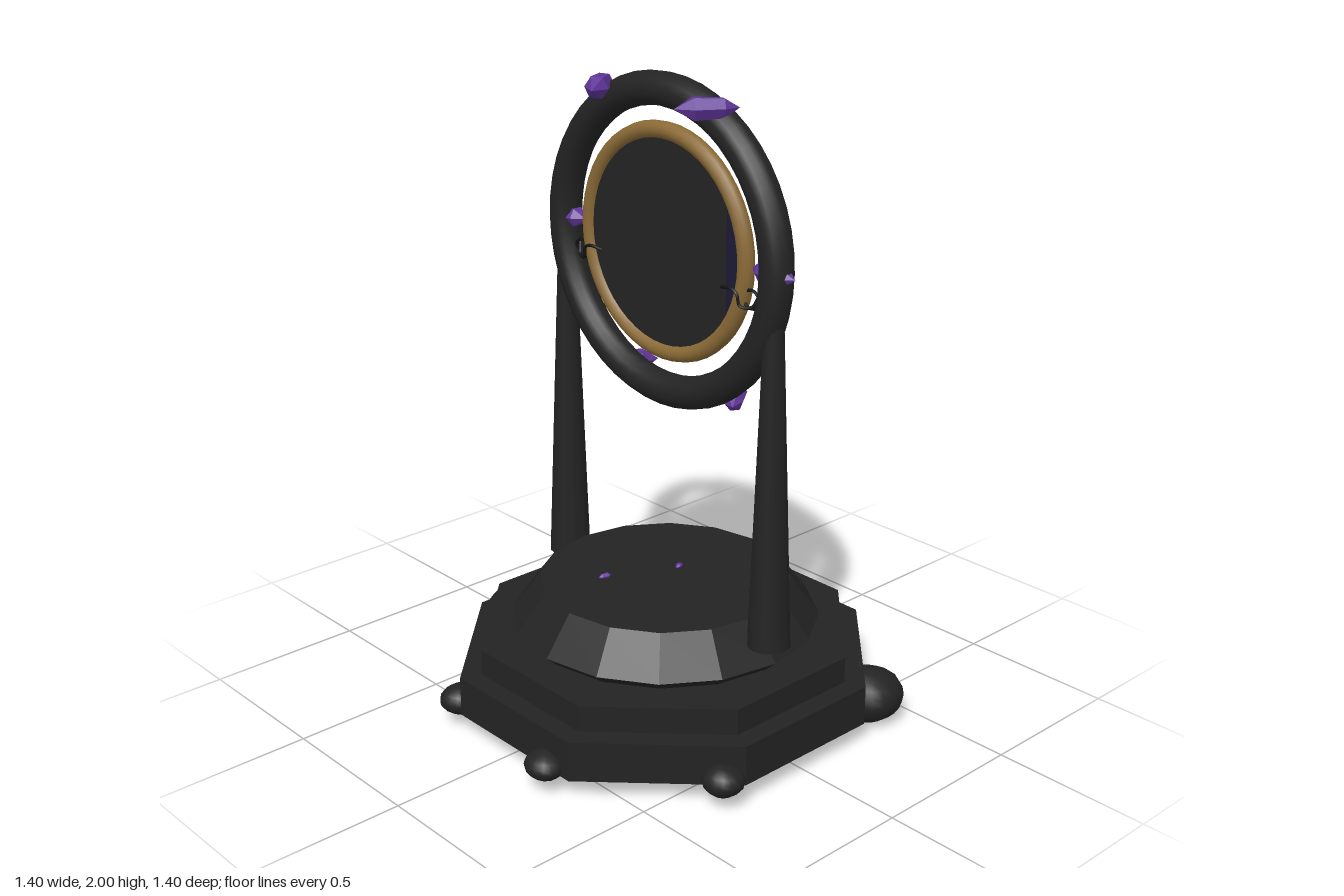
import * as THREE from 'three';

const CX = 0.055, CZ = 0.008, RING_Y = 1.5;

const material = (name, color, extra = {}) => {
  const m = new THREE.MeshStandardMaterial({ color, ...extra });
  m.name = name;
  return m;
};

export function createModel() {
  const stone = material('dark stone', 0x232323, { flatShading: true });
  const smoothStone = material('smooth dark stone', 0x232323);
  const gold = material('aged gold', 0x8a6a36);
  const navy = material('midnight blue', 0x1c1a34, { side: THREE.DoubleSide });
  const purple = material('violet crystal', 0x5f3598, { flatShading: true });
  const iron = material('black iron', 0x141414);

  const model = new THREE.Group();
  const add = (name, geometry, mat, x = 0, y = 0, z = 0, parent = model) => {
    const mesh = new THREE.Mesh(geometry, mat);
    mesh.name = name;
    mesh.position.set(x, y, z);
    parent.add(mesh);
    return mesh;
  };

  // Octagonal steps, flat sides facing the axes
  const octagon = (name, half, y0, y1) => {
    const r = half / Math.cos(Math.PI / 8);
    const g = new THREE.CylinderGeometry(r, r, y1 - y0, 8).rotateY(Math.PI / 8);
    add(name, g, stone, CX, (y0 + y1) / 2, CZ - 0.003);
  };
  octagon('lowerStep', 0.615, 0.065, 0.192);
  octagon('upperStep', 0.552, 0.19, 0.275);

  // Round bevelled dais
  const dais = [[0, 0.27], [0.435, 0.27], [0.48, 0.31], [0.39, 0.43], [0, 0.43]]
    .map(([x, y]) => new THREE.Vector2(x, y));
  add('dais', new THREE.LatheGeometry(dais, 16), stone, CX, 0, CZ - 0.003);

  // Lumpy boulders round the foot: x, z, radius, height centre, half height
  [
    [-0.595, 0.07, 0.108, 0.098, 0.082],
    [-0.465, -0.40, 0.114, 0.088, 0.086],
    [0.175, -0.635, 0.074, 0.088, 0.05],
    [0.585, -0.37, 0.102, 0.088, 0.086],
    [0.63, 0.31, 0.064, 0.088, 0.046],
    [0.218, 0.628, 0.064, 0.084, 0.043],
    [-0.25, 0.585, 0.062, 0.088, 0.045],
  ].forEach(([x, z, r, y, h], i) => {
    const g = new THREE.SphereGeometry(1, 16, 10);
    const p = g.attributes.position;
    const v = new THREE.Vector3();
    for (let k = 0; k < p.count; k++) {
      v.fromBufferAttribute(p, k);
      v.multiplyScalar(1 + 0.04 * Math.sin(3 * v.x + i) * Math.cos(4 * v.z + 2 * i));
      p.setXYZ(k, v.x * r, v.y * h, v.z * r);
    }
    g.computeVertexNormals();
    add('boulder', g, smoothStone, x, y, z);
  });

  // Tapered pillars leaning slightly inward
  for (const side of [-1, 1]) {
    const g = new THREE.CylinderGeometry(0.029, 0.066, 1.01, 12);
    const pillar = add('pillar', g, smoothStone, CX + side * 0.4505, 0.872, CZ + 0.002);
    pillar.rotation.z = side * 0.008;
  }

  // Outer ring, gilded frame and dark disc
  add('outerRing', new THREE.TorusGeometry(0.45, 0.05, 14, 48), smoothStone, CX, RING_Y, CZ);
  add('gildedFrame', new THREE.TorusGeometry(0.332, 0.026, 12, 48), gold, CX, RING_Y, CZ);
  add('mirrorDisc', new THREE.CylinderGeometry(0.32, 0.32, 0.02, 40).rotateX(Math.PI / 2),
    smoothStone, CX, RING_Y, CZ);

  // Blue glass: large segment on the back, sliver on the front
  const segment = (from, to) => {
    const s = new THREE.Shape();
    s.absarc(0, 0, 0.312, from, to, false);
    return new THREE.ShapeGeometry(s, 32);
  };
  const cut = Math.acos(0.15 / 0.312);
  add('backGlass', segment(cut, 2 * Math.PI - cut), navy, CX, RING_Y, CZ - 0.013);
  add('frontGlass', segment(-0.55, 0.55), navy, CX, RING_Y, CZ + 0.013);

  // Wire hooks tying the frame to the outer ring
  for (const side of [-1, 1]) {
    const path = [[0.385, 1.425, 0], [0.37, 1.392, 0.012], [0.335, 1.39, 0.026],
      [0.325, 1.425, 0.03], [0.3, 1.435, 0.03], [0.255, 1.428, 0.022]];
    const curve = new THREE.CatmullRomCurve3(
      path.map(([x, y, z]) => new THREE.Vector3(CX + side * x, y, CZ + z)));
    add('wireHook', new THREE.TubeGeometry(curve, 24, 0.005, 6), iron);
    const loop = add('wireLoop', new THREE.TorusGeometry(0.027, 0.005, 6, 20), iron,
      CX + side * 0.362, 1.412, CZ + 0.008);
    loop.scale.x = 1.15;
  }

  // Hexagonal crystals pointed at both ends
  const crystal = (name, a, b, r) => {
    const start = new THREE.Vector3(...a), end = new THREE.Vector3(...b);
    const dir = end.clone().sub(start), len = dir.length();
    const profile = [[0, -0.5], [0.85, -0.26], [1, 0.2], [0, 0.5]]
      .map(([x, y]) => new THREE.Vector2(x * r, y * len));
    const mid = start.add(end).multiplyScalar(0.5);
    const mesh = add(name, new THREE.LatheGeometry(profile, 6), purple, mid.x, mid.y, mid.z);
    mesh.quaternion.setFromUnitVectors(new THREE.Vector3(0, 1, 0), dir.normalize());
  };
  for (const side of [-1, 1]) {
    const x = (d) => CX + side * d;
    crystal('topCrystal', [x(0.275), 1.935, -0.015], [x(0.172), 1.935, 0.138], 0.036);
    crystal('lowerCrystal', [x(0.278), 1.062, 0.0], [x(0.175), 1.068, -0.125], 0.033);
    crystal('sideCrystal', [x(0.355), RING_Y, CZ], [x(0.52), RING_Y, CZ], 0.037);
  }

  // Tiny shards lying on the dais
  crystal('shard', [0.035, 0.432, -0.085], [0.045, 0.432, -0.05], 0.01);
  crystal('shard', [-0.065, 0.432, 0.175], [-0.055, 0.432, 0.132], 0.011);

  return model;
}
